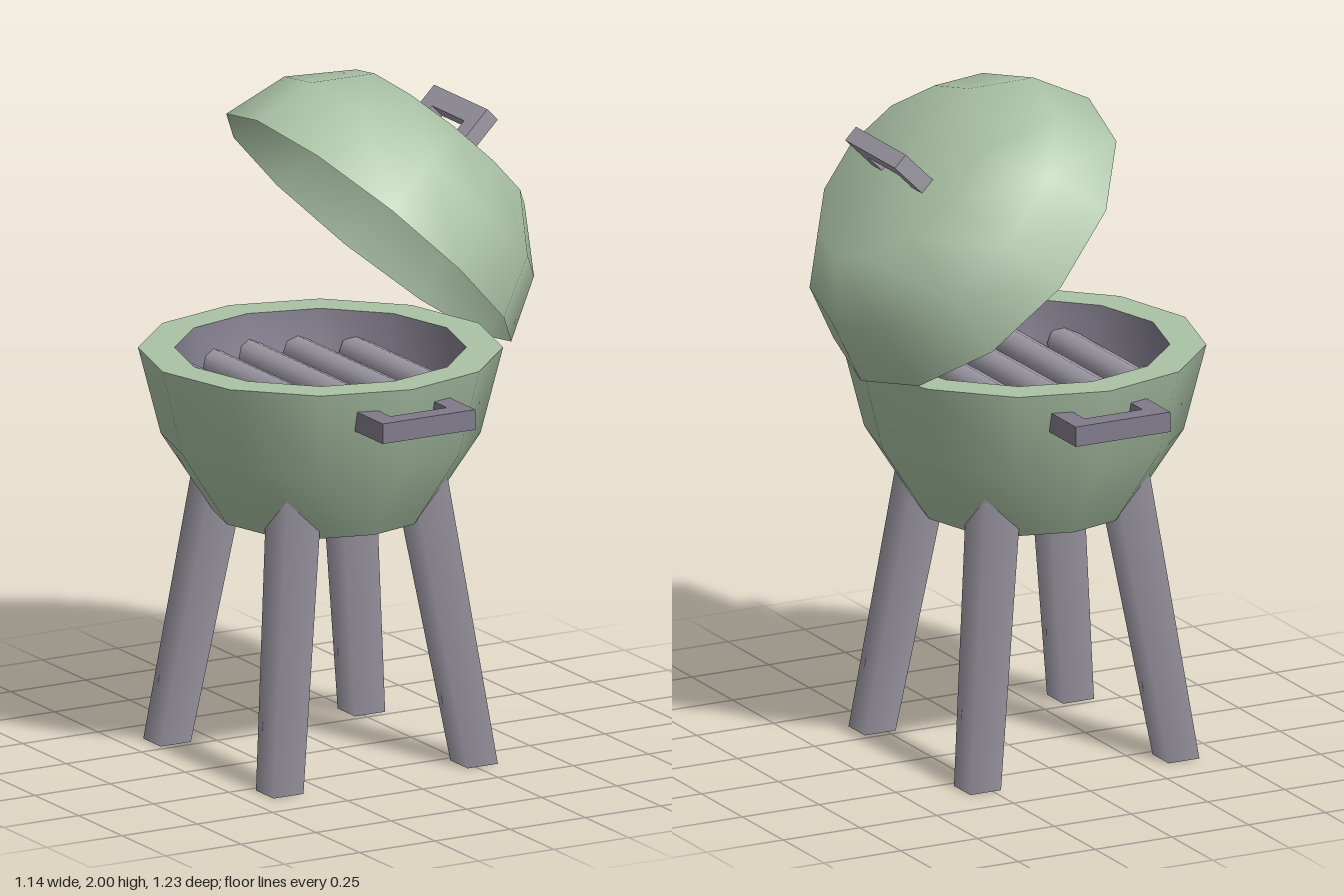
import * as THREE from 'three';

const green = new THREE.MeshStandardMaterial({ color: 0xabc3a6 });
green.name = 'sageGreen';
const greenShell = new THREE.MeshStandardMaterial({ color: 0xabc3a6, side: THREE.DoubleSide });
greenShell.name = 'sageGreenShell';
const grey = new THREE.MeshStandardMaterial({ color: 0x9d99a5 });
grey.name = 'grey';
const darkGrey = new THREE.MeshStandardMaterial({ color: 0x817b8a });
darkGrey.name = 'darkGrey';

const SIDES = 12;
const CX = -0.05; // axis of the bowl
const RIM_Y = 1.205;

function add(parent, name, geometry, material, x = 0, y = 0, z = 0) {
  const mesh = new THREE.Mesh(geometry, material);
  mesh.name = name;
  mesh.position.set(x, y, z);
  parent.add(mesh);
  return mesh;
}

// Faceted surface of revolution; rising profiles face outwards
function lathe(points) {
  return new THREE.LatheGeometry(points.map(([r, y]) => new THREE.Vector2(r, y)), SIDES);
}

// U-shaped grip: width along x, reaching from y = 0 to y = reach, extruded along z
function gripGeometry(width, reach, bar, depth) {
  const w = width / 2;
  const outline = [
    [-w, 0], [-w + bar, 0], [-w + bar, reach - bar], [w - bar, reach - bar],
    [w - bar, 0], [w, 0], [w, reach], [-w, reach],
  ];
  const shape = new THREE.Shape(outline.map(([x, y]) => new THREE.Vector2(x, y)));
  const geometry = new THREE.ExtrudeGeometry(shape, { depth, bevelEnabled: false });
  return geometry.translate(0, 0, -depth / 2);
}

// Square leg leaning outwards towards its foot
function legGeometry(sx, sz) {
  const height = 0.87;
  const geometry = new THREE.CylinderGeometry(0.083, 0.0707, height, 4);
  geometry.rotateY(Math.PI / 4);
  geometry.translate(0, height / 2, 0);
  const p = geometry.attributes.position;
  for (let i = 0; i < p.count; i++) {
    const offset = 0.323 - 0.135 * p.getY(i);
    p.setX(i, p.getX(i) + sx * offset);
    p.setZ(i, p.getZ(i) + sz * offset);
  }
  return geometry;
}

function buildBowl() {
  const bowl = new THREE.Group();
  bowl.name = 'bowl';
  bowl.position.x = CX;
  add(bowl, 'bowlWall', lathe([[0.31, 0.72], [0.46, 0.95], [0.525, RIM_Y]]), green);
  add(bowl, 'bowlBottom', lathe([[0, 0.72], [0.31, 0.72]]), green);
  add(bowl, 'bowlRim', lathe([[0.525, RIM_Y], [0.42, RIM_Y]]), green);
  add(bowl, 'bowlLining', lathe([[0.42, RIM_Y], [0.395, 1.04], [0.34, 0.92]]), darkGrey);
  add(bowl, 'bowlFloor', lathe([[0.34, 0.92], [0, 0.92]]), darkGrey);
  return bowl;
}

function buildGrate() {
  const grate = new THREE.Group();
  grate.name = 'grate';
  grate.position.x = CX;
  // Parallel bars, each reaching the bowl wall
  for (let i = -2; i <= 2; i++) {
    const x = i * 0.14;
    const length = 2 * Math.sqrt(0.41 * 0.41 - x * x);
    const bar = new THREE.CylinderGeometry(0.046, 0.046, length, 8).rotateX(Math.PI / 2);
    add(grate, 'grateBar', bar, grey, x, 1.085, 0);
  }
  const cross = new THREE.CylinderGeometry(0.046, 0.046, 0.8, 8).rotateZ(Math.PI / 2);
  add(grate, 'grateCrossBar', cross, grey, 0, 1.03, 0);
  return grate;
}

function buildLid() {
  const lid = new THREE.Group();
  lid.name = 'lid';
  lid.position.set(0.11, 1.54, 0);
  lid.rotation.z = -Math.PI / 4; // tipped open
  add(lid, 'lidShell', lathe([[0.525, 0], [0.46, 0.19], [0.31, 0.337], [0, 0.34]]), greenShell);
  const grip = gripGeometry(0.305, 0.133, 0.06, 0.05).rotateY(Math.PI / 2);
  add(lid, 'lidHandle', grip, grey, 0, 0.33, -0.007);
  return lid;
}

export function createModel() {
  const model = new THREE.Group();
  model.name = 'grill';
  model.add(buildBowl(), buildGrate(), buildLid());

  // Four splayed legs
  for (const sx of [-1, 1]) {
    for (const sz of [-1, 1]) add(model, 'leg', legGeometry(sx, sz), grey, CX, 0, 0);
  }

  // Carrying handles on the front and back
  for (const side of [1, -1]) {
    const grip = gripGeometry(0.308, 0.175, 0.06, 0.06).rotateX(side * Math.PI / 2);
    add(model, 'sideHandle', grip, darkGrey, -0.046, 1.115, side * 0.44);
  }
  return model;
}
